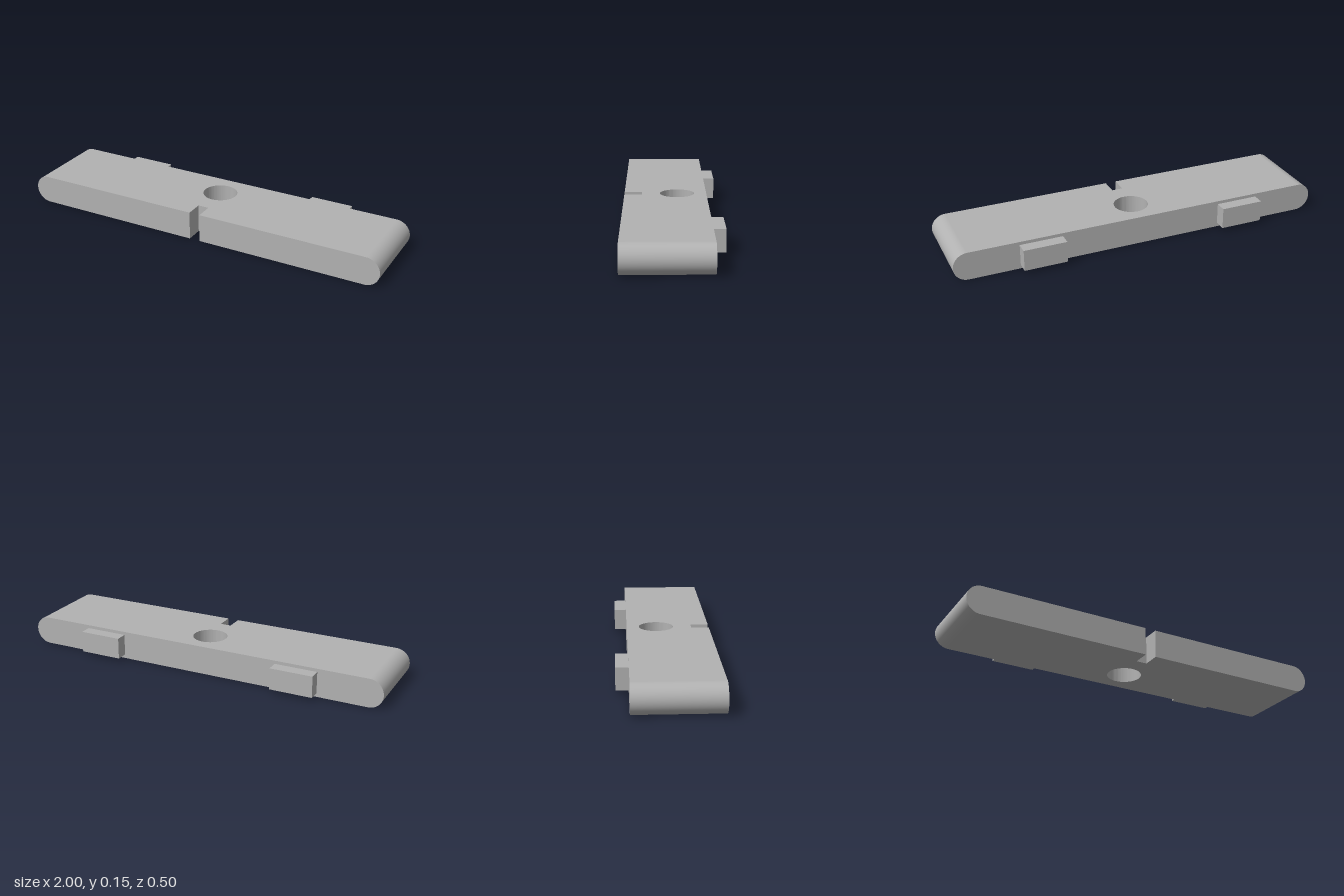
import * as THREE from 'three';
import { toCreasedNormals } from 'three/addons/utils/BufferGeometryUtils.js';

const THICK = 0.15, R = THICK / 2, BACK = -0.185, FRONT = 0.248;
const END = 1 - R; // where the rounded ends begin

export function createModel() {
  const model = new THREE.Group();
  const grey = new THREE.MeshStandardMaterial({ color: 0xb2b2b2 });
  grey.name = 'grey';

  const add = (name, geometry, x, y, z) => {
    const mesh = new THREE.Mesh(geometry, grey);
    mesh.name = name;
    mesh.position.set(x, y, z);
    model.add(mesh);
  };

  // Flat bar in plan, with a slot in the front edge and a round through-hole
  const slot = 0.029, slotEnd = 0.155;
  const plan = new THREE.Shape([
    [-END, BACK], [END, BACK], [END, FRONT], [slot, FRONT],
    [slot, slotEnd], [-slot, slotEnd], [-slot, FRONT], [-END, FRONT],
  ].map(([x, z]) => new THREE.Vector2(x, z)));
  const hole = new THREE.Path();
  hole.absarc(0, -0.03, 0.09, 0, Math.PI * 2, true);
  plan.holes.push(hole);
  const bar = new THREE.ExtrudeGeometry(plan, { depth: THICK, bevelEnabled: false, curveSegments: 64 });
  bar.rotateX(Math.PI / 2);
  add('bar', toCreasedNormals(bar, 0.5), 0, THICK, 0);

  // Half-round ends and rear tabs
  for (const side of [-1, 1]) {
    const name = side > 0 ? 'left' : 'right';
    const end = new THREE.CylinderGeometry(R, R, FRONT - BACK, 32, 1, false, side > 0 ? 0 : Math.PI, Math.PI);
    end.rotateX(Math.PI / 2);
    add(name + 'RoundedEnd', end, side * END, R, (FRONT + BACK) / 2);
    add(name + 'Tab', new THREE.BoxGeometry(0.226, 0.113, 0.063), side * 0.548, 0.0765, BACK - 0.0315);
  }
  return model;
}
